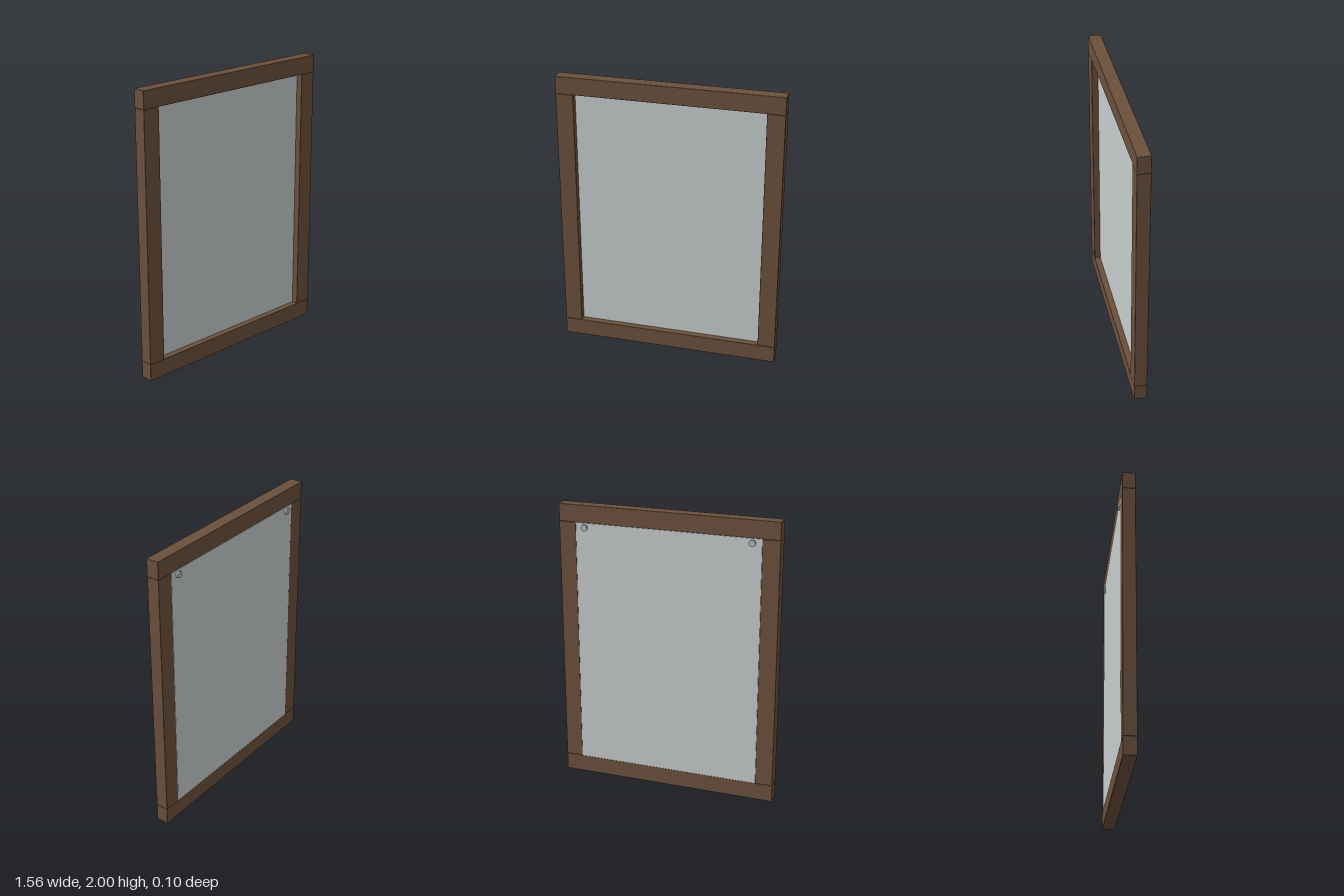
import * as THREE from 'three';
import { RoundedBoxGeometry } from 'three/addons/geometries/RoundedBoxGeometry.js';

export function createModel() {
  const model = new THREE.Group();
  model.name = 'framedMirror';
  const material = (name, color) => {
    const m = new THREE.MeshStandardMaterial({ color });
    m.name = name;
    return m;
  };
  const wood = material('brownWood', 0x6b503c);
  const glass = material('silverGlass', 0xc6cccd);
  const metal = material('greyMetal', 0xb4b6b6);

  const add = (name, geometry, mat, x, y, z) => {
    const mesh = new THREE.Mesh(geometry, mat);
    mesh.name = name;
    mesh.position.set(x, y, z);
    model.add(mesh);
    return mesh;
  };

  const width = 1.56, height = 2, bar = 0.123, front = 0.05, back = -0.04;
  const depth = front - back, midZ = (front + back) / 2;
  const plank = (w, h) => new RoundedBoxGeometry(w, h, depth, 2, 0.004);

  // Rails run the full width, stiles stand between them
  add('topRail', plank(width, bar), wood, 0, height - bar / 2, midZ);
  add('bottomRail', plank(width, bar), wood, 0, bar / 2, midZ);
  for (const side of [-1, 1]) {
    add(side > 0 ? 'leftStile' : 'rightStile', plank(bar, height - 2 * bar), wood,
      side * (width - bar) / 2, height / 2, midZ);
  }

  // Pane sits flush with the back and is recessed at the front
  const paneDepth = 0.045;
  add('mirrorPane', new THREE.BoxGeometry(width - 2 * bar, height - 2 * bar, paneDepth), glass,
    0, height / 2, back + paneDepth / 2);

  // Round hanging studs on the back
  for (const side of [-1, 1]) {
    const stud = add(side > 0 ? 'leftHangingStud' : 'rightHangingStud',
      new THREE.CylinderGeometry(0.023, 0.023, 0.016, 24), metal,
      side * 0.592, 1.845, back - 0.006);
    stud.rotation.x = Math.PI / 2;
  }
  return model;
}
